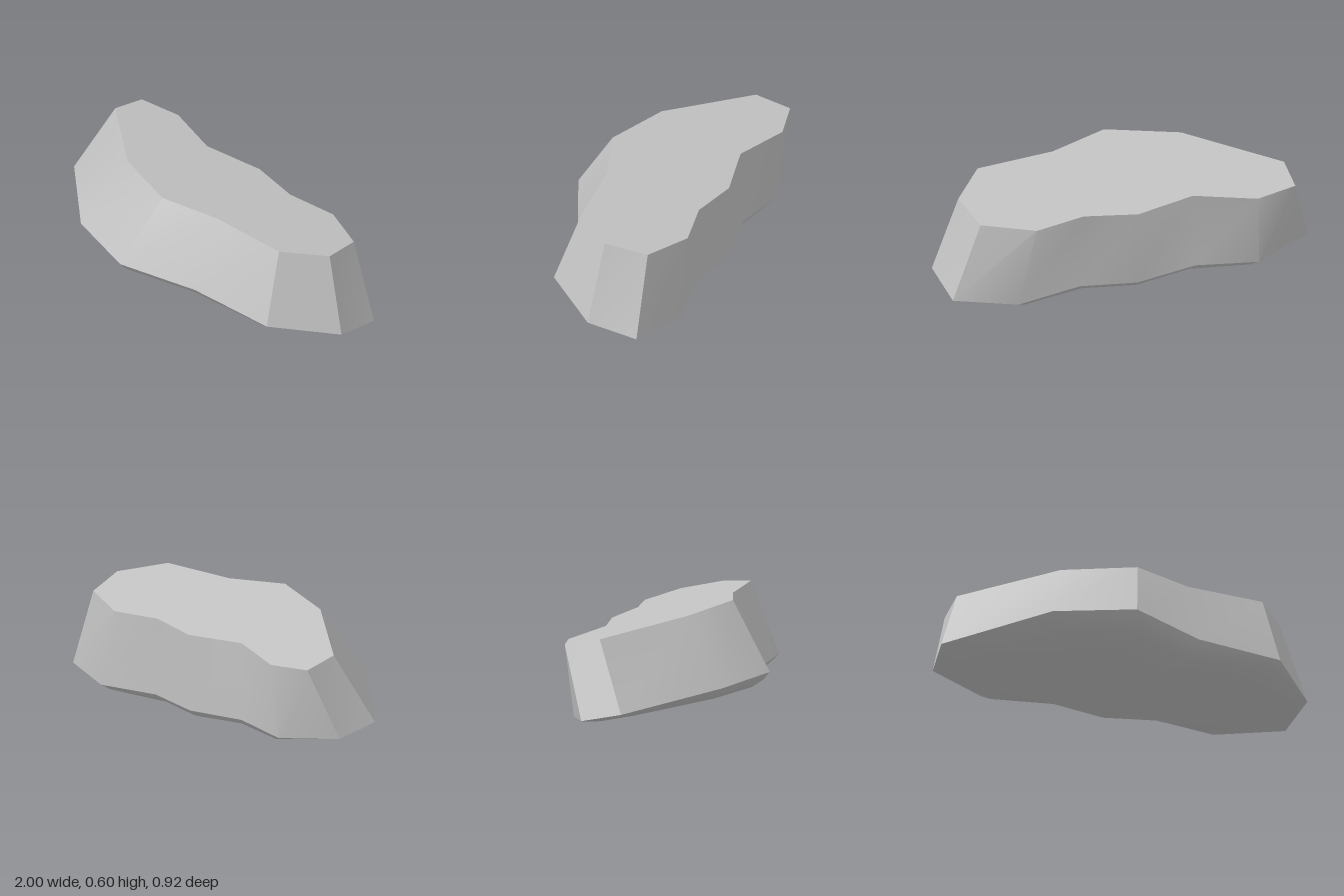
import * as THREE from 'three';
import { toCreasedNormals } from 'three/addons/utils/BufferGeometryUtils.js';

// Matching outlines [x, z]: flat upper face and wider lower rim
const TOP = [[-0.86, -0.22], [-0.41, 0.12], [-0.03, 0.235], [0.28, 0.135], [0.70, 0.10], [0.87, -0.10],
  [0.82, -0.32], [0.55, -0.43], [0.28, -0.38], [0, -0.43], [-0.32, -0.36], [-0.64, -0.46], [-0.86, -0.41]];
const RIM = [[-1, -0.06], [-0.53, 0.34], [-0.11, 0.46], [0.28, 0.30], [0.75, 0.235], [1, -0.06],
  [0.97, -0.32], [0.65, -0.43], [0.30, -0.375], [0, -0.42], [-0.33, -0.37], [-0.66, -0.425], [-0.97, -0.285]];
const MID_Z = -0.05;

// Both faces of the slab slope down toward the back; the rim also tips slightly sideways
const topY = (z) => 0.548 + 0.2 * z;
const rimY = (x, z) => 0.141 + 0.22 * z - 0.012 * x;

const topRing = TOP.map(([x, z]) => [x, topY(z), z]);
const rimRing = RIM.map(([x, z]) => [x, rimY(x, z), z]);

// Rim outline shrunk toward the middle, dropped below the rim plane, most at mid length
function underRing(scale, endDrop, extraDrop) {
  return RIM.map(([x0, z0]) => {
    const x = x0 * scale;
    const z = MID_Z + (z0 - MID_Z) * scale;
    return [x, Math.max(0, rimY(x, z) - endDrop - extraDrop * (1 - x * x)), z];
  });
}

// Band between a lower and an upper ring
function band(lower, upper) {
  const out = [];
  lower.forEach((a, i) => {
    const j = (i + 1) % lower.length;
    out.push(a, lower[j], upper[j], a, upper[j], upper[i]);
  });
  return out;
}

// Fan that closes a ring
function cap(ring, centre, up) {
  return ring.flatMap((a, i) => {
    const b = ring[(i + 1) % ring.length];
    return up ? [centre, a, b] : [centre, b, a];
  });
}

function part(name, corners, material, crease) {
  const geometry = new THREE.BufferGeometry();
  geometry.setAttribute('position', new THREE.Float32BufferAttribute(corners.flat(), 3));
  geometry.computeVertexNormals();
  const mesh = new THREE.Mesh(toCreasedNormals(geometry, crease), material);
  mesh.name = name;
  return mesh;
}

export function createModel() {
  const model = new THREE.Group();
  model.name = 'rockSlab';
  const stone = new THREE.MeshStandardMaterial({ color: 0xc2c2c2 });
  stone.name = 'grey stone';

  // Flat sloping top
  model.add(part('topFace', cap(topRing, [0, topY(-0.1), -0.1], true), stone, 0.3));

  // Chiselled side walls, soft across the shallow bends
  model.add(part('sideWalls', band(rimRing, topRing), stone, 0.55));

  // Worn underside: rounded edge, bulging belly and a shallow hollow in the middle
  const edge = underRing(0.93, 0.012, 0.023);
  const belly = underRing(0.8, 0.02, 0.045);
  const inner = underRing(0.42, 0.02, 0.06);
  model.add(part('underside', [
    ...band(edge, rimRing),
    ...band(belly, edge),
    ...band(inner, belly),
    ...cap(inner, [0, rimY(0, MID_Z) - 0.06, MID_Z], false),
  ], stone, 0.9));

  return model;
}
